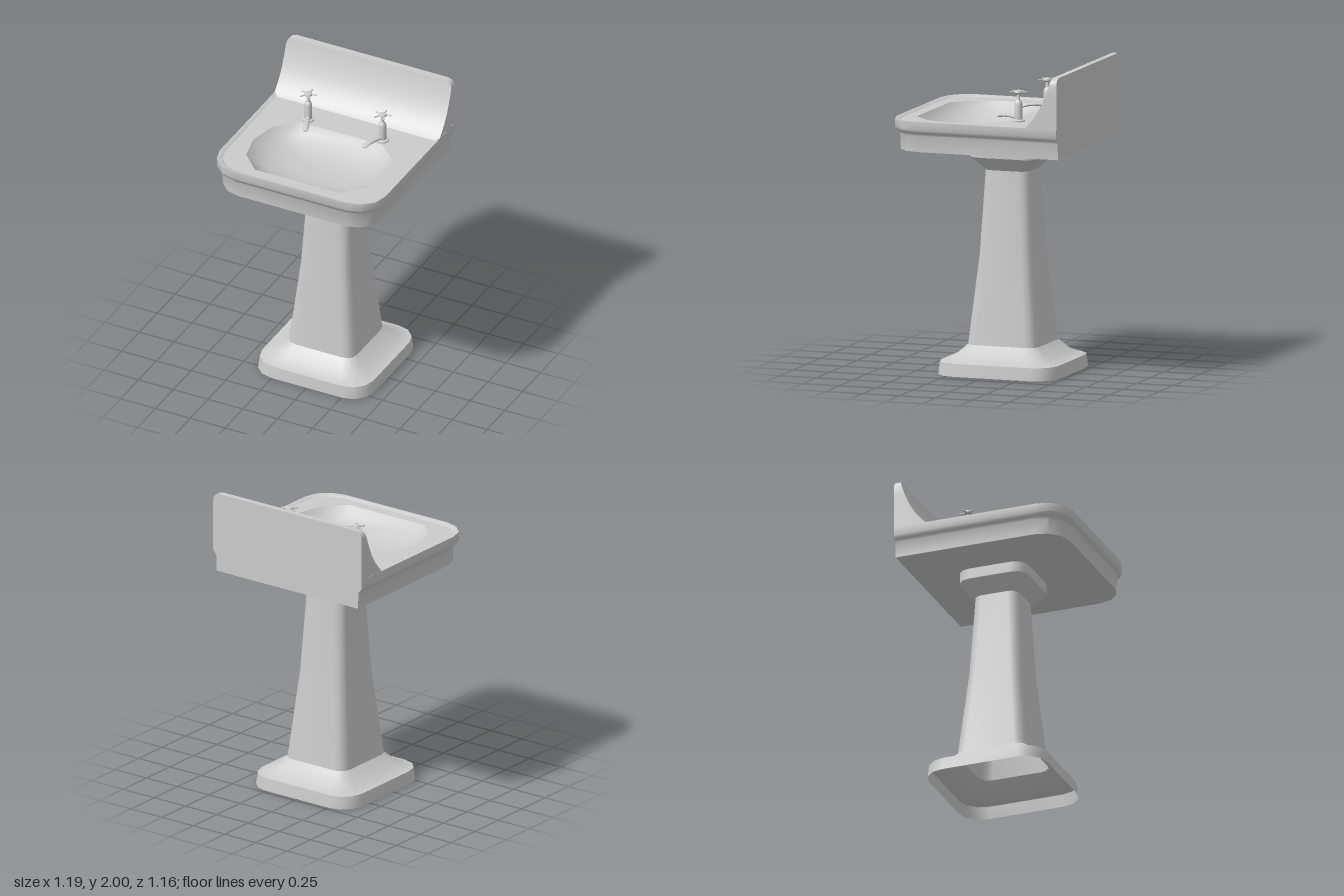
import * as THREE from 'three';
import { toCreasedNormals } from 'three/addons/utils/BufferGeometryUtils.js';

const BACK = -0.58, HALF = 0.595, RIM = 1.67, DECK = 1.657;
const material = new THREE.MeshStandardMaterial({ color: 0xcccccc, side: THREE.DoubleSide });

function addMesh(parent, name, geometry) {
  const mesh = new THREE.Mesh(geometry, material);
  mesh.name = name;
  parent.add(mesh);
  return mesh;
}

// Skin a list of closed rings ([x, y, z] points); optionally close either end.
function loft(rings, { capStart = false, capEnd = false, crease = 0.7 } = {}) {
  const n = rings[0].length, points = rings.flat(), index = [];
  for (let i = 0; i < rings.length - 1; i++) {
    for (let j = 0; j < n; j++) {
      const a = i * n + j, b = i * n + (j + 1) % n;
      index.push(a, b, b + n, a, b + n, a + n);
    }
  }
  const cap = (row, flip) => {
    const centre = [0, 1, 2].map(k => rings[row].reduce((s, p) => s + p[k], 0) / n);
    const c = points.push(centre) - 1;
    for (let j = 0; j < n; j++) {
      const a = row * n + j, b = row * n + (j + 1) % n;
      index.push(c, flip ? b : a, flip ? a : b);
    }
  };
  if (capStart) cap(0, true);
  if (capEnd) cap(rings.length - 1, false);
  const geometry = new THREE.BufferGeometry();
  geometry.setAttribute('position', new THREE.Float32BufferAttribute(points.flat(), 3));
  geometry.setIndex(index);
  return toCreasedNormals(geometry, crease);
}

// Mirror a right-hand outline (front to back) into a full [x, z] loop.
const mirrored = half => [...half, ...half.map(([x, z]) => [-x, z]).reverse()];
const atHeight = (outline, y) => outline.map(([x, z]) => [x, y, z]);

// Square ring with rounded corners, used by the pedestal.
function roundedSquare(w, r, y, zc) {
  const ring = [];
  for (let q = 0; q < 4; q++) {
    for (let k = 0; k <= 3; k++) {
      const a = q * Math.PI / 2 + k * Math.PI / 6, m = (q + 0.5) * Math.PI / 2;
      const cx = Math.sign(Math.cos(m)) * (w - r), cz = -Math.sign(Math.sin(m)) * (w - r);
      ring.push([cx + r * Math.cos(a), y, zc + cz - r * Math.sin(a)]);
    }
  }
  return ring;
}

// Basin outline: square at the back, rounded at the front, inset by d.
function basinOutline(d, back = BACK) {
  const half = [[0.41, 0.58], [0.5, 0.555], [0.57, 0.49], [HALF, 0.4], [HALF, BACK]];
  return mirrored(half.map(([x, z], i) => [x * (1 - d / HALF), i === 4 ? back : z - d]));
}

const bowlOutline = mirrored([[0.3, 0.48], [0.43, 0.35], [0.47, 0.17], [0.43, -0.02], [0.29, -0.15]]);

function makeTap(side) {
  const tap = new THREE.Group();
  tap.name = side > 0 ? 'leftTap' : 'rightTap';
  tap.position.set(side * 0.267, DECK, -0.2);

  // Turned body with foot flange, shoulder and thin stem
  const profile = [[0, 0], [0.042, 0], [0.042, 0.008], [0.026, 0.014], [0.026, 0.115],
    [0.021, 0.13], [0.012, 0.14], [0.01, 0.175], [0.028, 0.188], [0.024, 0.2], [0, 0.206]];
  const body = new THREE.LatheGeometry(profile.map(p => new THREE.Vector2(...p)), 16);
  addMesh(tap, 'tapBody', toCreasedNormals(body, 0.7));

  // Flattened spout, turned in towards the bowl: z, y, half width, half height
  const stations = [[0, 0.024, 0.016, 0.012], [0.06, 0.03, 0.016, 0.011], [0.12, 0.029, 0.02, 0.011],
    [0.15, 0.023, 0.02, 0.011], [0.166, 0.016, 0.014, 0.007]];
  const rings = stations.map(([z, y, w, h]) => Array.from({ length: 10 }, (_, k) => {
    const a = k / 10 * Math.PI * 2;
    return [w * Math.cos(a), y + h * Math.sin(a), z];
  }));
  const spout = addMesh(tap, 'spout', loft(rings, { capStart: true, capEnd: true, crease: 1 }));
  spout.rotation.y = -side * 0.36;

  // Five-spoke handle
  const handle = new THREE.Group();
  handle.name = 'handle';
  handle.position.y = 0.192;
  tap.add(handle);
  for (let i = 0; i < 5; i++) {
    const spoke = new THREE.Group();
    spoke.name = 'spoke';
    spoke.rotation.y = i * Math.PI * 2 / 5;
    const rod = addMesh(spoke, 'spokeRod', new THREE.CylinderGeometry(0.005, 0.004, 0.04, 8));
    rod.rotation.x = -Math.PI / 2;
    rod.position.z = -0.036;
    const tip = addMesh(spoke, 'spokeTip', new THREE.SphereGeometry(0.006, 8, 6));
    tip.position.z = -0.053;
    handle.add(spoke);
  }
  return tap;
}

export function createModel() {
  const model = new THREE.Group();
  model.name = 'pedestalBasin';

  // Hollow pedestal: height, half width, corner radius
  const pedestal = [[0, 0.408, 0.15], [0.083, 0.4, 0.15], [0.083, 0.398, 0.15], [0.115, 0.315, 0.11],
    [0.185, 0.24, 0.07], [0.77, 0.18, 0.06], [1.31, 0.15, 0.06], [1.4, 0.235, 0.09], [1.47, 0.235, 0.09]];
  addMesh(model, 'pedestal', loft(pedestal.map(([y, w, r]) => roundedSquare(w, r, y, -0.065))));

  // Basin body with cove under the rim, ending in the raised lip: height, inset, back edge
  const sides = [[1.47, 0.03], [1.575, 0.026], [1.588, 0.02], [1.598, 0.008], [1.615, 0],
    [RIM, 0], [RIM, 0.008], [DECK, 0.027, -0.345]];
  addMesh(model, 'basinBody', loft(sides.map(([y, d, b]) => atHeight(basinOutline(d, b), y)), { capStart: true }));

  // Flat deck around the bowl opening
  const toShape = outline => outline.map(([x, z]) => new THREE.Vector2(x, -z));
  const deckShape = new THREE.Shape(toShape(basinOutline(0.027, -0.345)));
  deckShape.holes.push(new THREE.Path(toShape(bowlOutline)));
  const deck = new THREE.ShapeGeometry(deckShape).rotateX(-Math.PI / 2).translate(0, DECK, 0);
  addMesh(model, 'deck', deck);

  // Bowl: scale of the opening, height
  const bowl = [[1, DECK], [0.9, 1.61], [0.72, 1.565], [0.45, 1.535], [0.2, 1.525]].map(([s, y]) =>
    bowlOutline.map(([x, z]) => [x * s, y, 0.13 + (z - 0.13) * s]));
  addMesh(model, 'bowl', loft(bowl, { capEnd: true, crease: 1 }));

  // Splashback with a swept front and rounded top corners: height, front z
  const sweep = [[DECK, -0.345], [RIM, -0.365], [1.7, -0.395], [1.745, -0.432], [1.81, -0.472],
    [1.88, -0.502], [1.95, -0.527], [1.975, -0.534], [1.99, -0.538], [2, -0.541]];
  const splash = sweep.map(([y, z]) => {
    const t = Math.max(0, (y - 1.95) / 0.05);
    const w = HALF - 0.001 - 0.05 * (1 - Math.sqrt(Math.max(0, 1 - t * t)));
    return atHeight([[w, z], [w, BACK], [-w, BACK], [-w, z]], y);
  });
  addMesh(model, 'splashback', loft(splash, { capEnd: true }));

  for (const side of [1, -1]) model.add(makeTap(side));
  return model;
}
